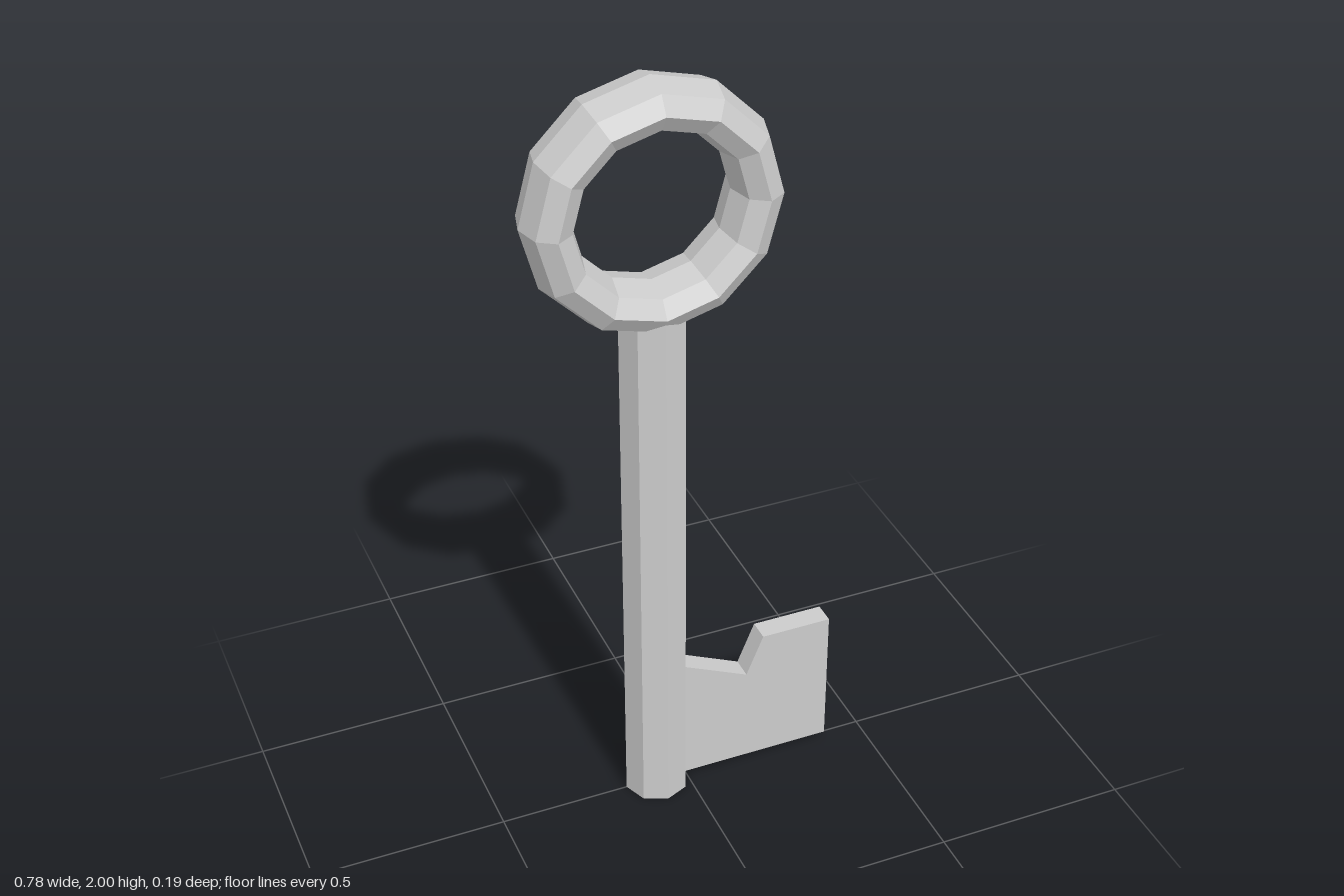
import * as THREE from 'three';

export function createModel() {
  const model = new THREE.Group();
  model.name = 'key';
  const material = new THREE.MeshStandardMaterial({ color: 0xcccccc, flatShading: true });
  const axisX = -0.08;

  const add = (name, geometry, x, y, z) => {
    const mesh = new THREE.Mesh(geometry, material);
    mesh.name = name;
    mesh.position.set(x, y, z);
    model.add(mesh);
    return mesh;
  };

  // Ring handle: faceted torus, stretched in depth
  add('ringHandle', new THREE.TorusGeometry(0.25, 0.06, 8, 12), axisX, 1.69, 0).scale.z = 1.55;

  // Octagonal shaft, its top buried in the ring
  const shaftHeight = 1.44;
  add('shaft', new THREE.CylinderGeometry(0.083, 0.083, shaftHeight, 8), axisX, shaftHeight / 2, 0);

  // Flat bit with a notch in its upper edge, its inner end buried in the shaft
  const outline = [
    [-0.03, 0.025], [0.39, 0.025], [0.39, 0.405], [0.205, 0.405], [0.16, 0.295], [-0.03, 0.384],
  ].map(([x, y]) => new THREE.Vector2(x, y));
  const thickness = 0.057;
  add('bit', new THREE.ExtrudeGeometry(new THREE.Shape(outline), { depth: thickness, bevelEnabled: false }),
    0, 0, -thickness / 2);

  return model;
}
